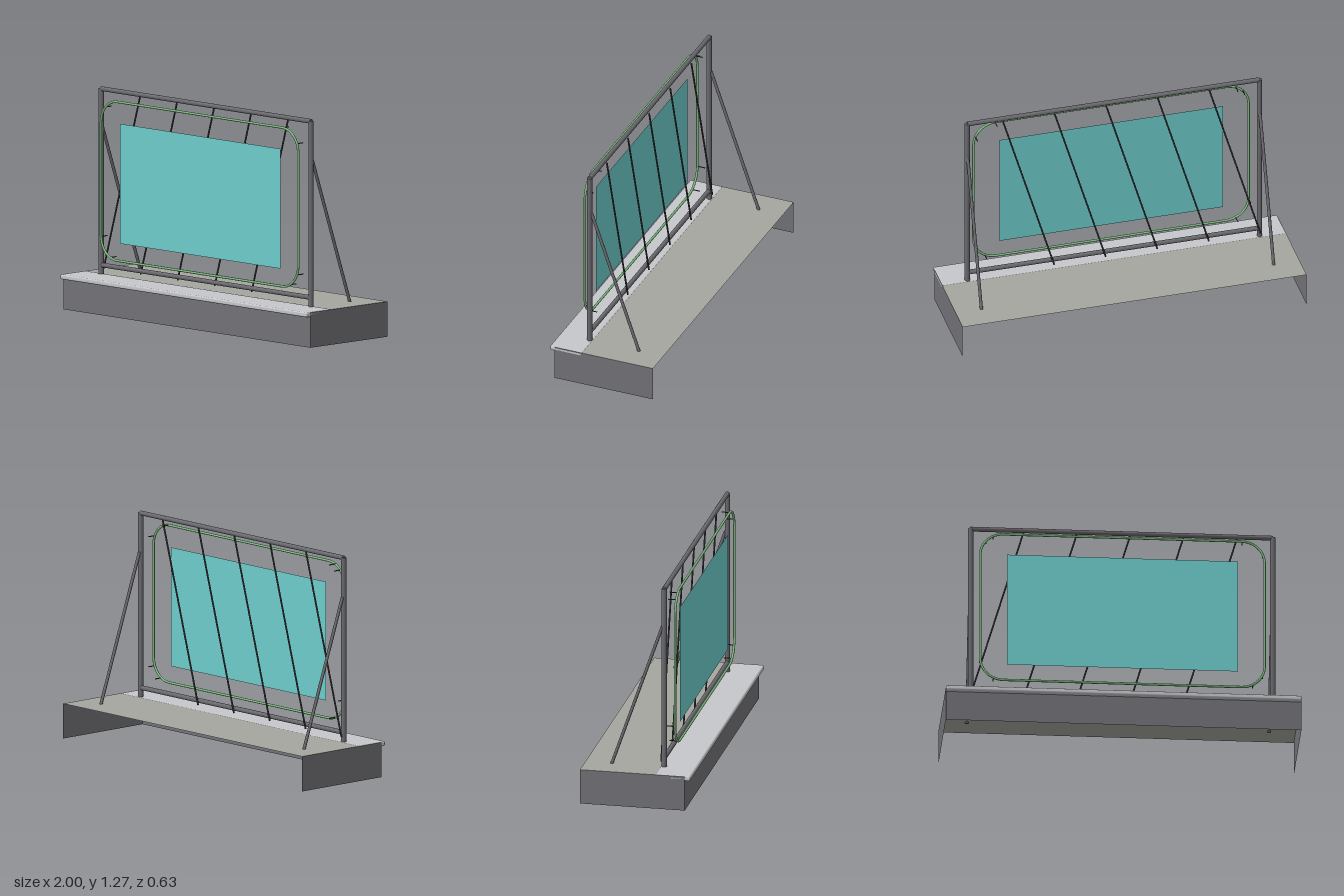
import * as THREE from 'three';
import { RoundedBoxGeometry } from 'three/addons/geometries/RoundedBoxGeometry.js';

const material = (name, color, side = THREE.FrontSide) => {
  const m = new THREE.MeshStandardMaterial({ color, side });
  m.name = name;
  return m;
};

export function createModel() {
  const group = new THREE.Group();
  const wall = material('wall grey', 0x727277, THREE.DoubleSide);
  const deck = material('warm deck grey', 0xa6a69f, THREE.DoubleSide);
  const ledge = material('light grey', 0xc6c7ca);
  const steel = material('steel grey', 0x6a6a6f);
  const dark = material('dark rod grey', 0x434346);
  const green = material('green', 0x7dbb80);
  const teal = material('teal', 0x6ecbcb, THREE.DoubleSide);

  const add = (name, geometry, mat, x = 0, y = 0, z = 0) => {
    const mesh = new THREE.Mesh(geometry, mat);
    mesh.name = name;
    mesh.position.set(x, y, z);
    group.add(mesh);
    return mesh;
  };

  // Round bar between two points
  const bar = (name, from, to, radius, mat, sides = 16) => {
    const a = new THREE.Vector3(...from), b = new THREE.Vector3(...to);
    const dir = b.clone().sub(a);
    const mesh = add(name, new THREE.CylinderGeometry(radius, radius, dir.length(), sides), mat);
    mesh.position.copy(a).add(b).multiplyScalar(0.5);
    mesh.quaternion.setFromUnitVectors(new THREE.Vector3(0, 1, 0), dir.normalize());
  };

  // Hollow base, open at the back and underneath
  const back = -0.315, front = 0.285, depth = front - back, mid = (front + back) / 2;
  add('baseFront', new THREE.PlaneGeometry(2, 0.2), wall, 0, 0.1, front);
  for (const s of [-1, 1]) {
    add('baseSide', new THREE.PlaneGeometry(depth, 0.2).rotateY(s * Math.PI / 2), wall, s, 0.1, mid);
  }
  add('deck', new THREE.PlaneGeometry(2, depth).rotateX(-Math.PI / 2), deck, 0, 0.2, mid);
  add('frontLedge', new RoundedBoxGeometry(2, 0.028, 0.198, 3, 0.009), ledge, 0, 0.188, 0.216);

  // Frame: posts, rails and rear struts
  const frameZ = 0.136;
  for (const x of [-0.85, 0.85]) {
    bar('post', [x, 0.19, frameZ], [x, 1.255, frameZ], 0.015, steel);
    bar('rearStrut', [x, 1.03, 0.125], [x, 0.19, -0.168], 0.009, steel);
  }
  for (const y of [0.253, 1.253]) {
    bar('rail', [-0.85, y, frameZ], [0.85, y, frameZ], 0.0135, steel);
  }

  // Slanted rods behind the frame
  for (let i = 0; i < 5; i++) {
    const x = -0.85 + 0.3 * i;
    bar('slantedRod', [x, 0.23, 0.118], [x + 0.297, 1.245, 0.118], 0.005, dark, 10);
  }

  // Rounded ring tube
  const ringZ = 0.187, w = 0.8, low = 0.302, high = 1.203, r = 0.13;
  const corners = [[w - r, high - r, 0], [r - w, high - r, 1], [r - w, low + r, 2], [w - r, low + r, 3]];
  const path = new THREE.CurvePath();
  const point = (c, quarter) => new THREE.Vector3(
    c[0] + r * Math.cos(quarter * Math.PI / 2), c[1] + r * Math.sin(quarter * Math.PI / 2), ringZ);
  corners.forEach((c, i) => {
    const arc = [];
    for (let k = 0; k <= 12; k++) arc.push(point(c, c[2] + k / 12));
    for (let k = 0; k < 12; k++) path.add(new THREE.LineCurve3(arc[k], arc[k + 1]));
    const next = corners[(i + 1) % 4];
    path.add(new THREE.LineCurve3(arc[12], point(next, next[2])));
  });
  add('ringTube', new THREE.TubeGeometry(path, 360, 0.007, 10, true), green);

  // Short pins behind the ring corners
  const pins = [[-0.765, 1.164], [-0.725, 1.193], [0.675, 1.203], [0.79, 1.125],
    [-0.8, 0.425], [-0.725, 0.314], [0.79, 0.38], [0.735, 0.319]];
  for (const [x, y] of pins) bar('ringPin', [x, y, 0.14], [x, y, ringZ], 0.003, dark, 8);

  // Thin display panel
  add('panel', new THREE.PlaneGeometry(1.3, 0.68), teal, 0, 0.74, 0.182);

  return group;
}
